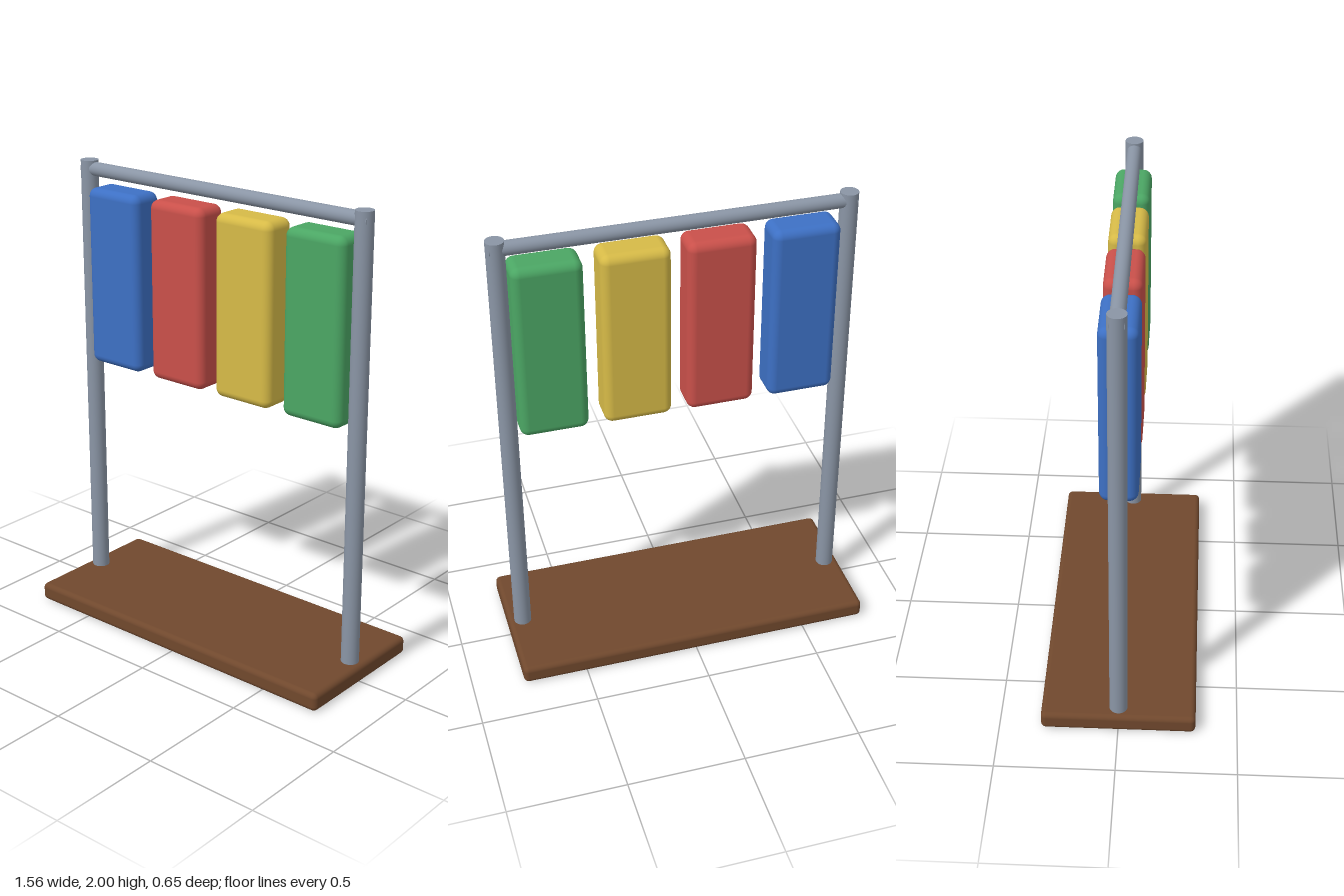
import * as THREE from 'three';
import { RoundedBoxGeometry } from 'three/addons/geometries/RoundedBoxGeometry.js';

const paint = (color) => new THREE.MeshStandardMaterial({ color });

function addPart(group, name, geometry, material, x, y, z = 0) {
  const mesh = new THREE.Mesh(geometry, material);
  mesh.name = name;
  mesh.position.set(x, y, z);
  group.add(mesh);
  return mesh;
}

export function createModel() {
  const group = new THREE.Group();
  group.name = 'hangingPanelStand';
  const wood = paint(0x70482d);
  const metal = paint(0x8a95a5);

  // Wooden base board
  addPart(group, 'base', new RoundedBoxGeometry(1.56, 0.08, 0.65, 4, 0.022), wood, 0, 0.04);

  // Two upright posts, set into the base
  const postGeometry = new THREE.CylinderGeometry(0.038, 0.038, 1.96, 32);
  for (const side of [-1, 1]) {
    addPart(group, side > 0 ? 'leftPost' : 'rightPost', postGeometry, metal, side * 0.718, 1.02);
  }

  // Crossbar running through the post tops
  const bar = addPart(group, 'crossbar', new THREE.CylinderGeometry(0.03, 0.03, 1.49, 32), metal, 0, 1.963);
  bar.rotation.z = Math.PI / 2;

  // Row of four coloured panels just below the crossbar
  const panelGeometry = new RoundedBoxGeometry(0.287, 0.78, 0.154, 5, 0.036);
  const panels = [['bluePanel', 0x3d70c4], ['redPanel', 0xc9504a], ['yellowPanel', 0xd6ba47], ['greenPanel', 0x4ba664]];
  panels.forEach(([name, color], i) => {
    addPart(group, name, panelGeometry, paint(color), -0.525 + i * 0.353, 1.507);
  });

  return group;
}
